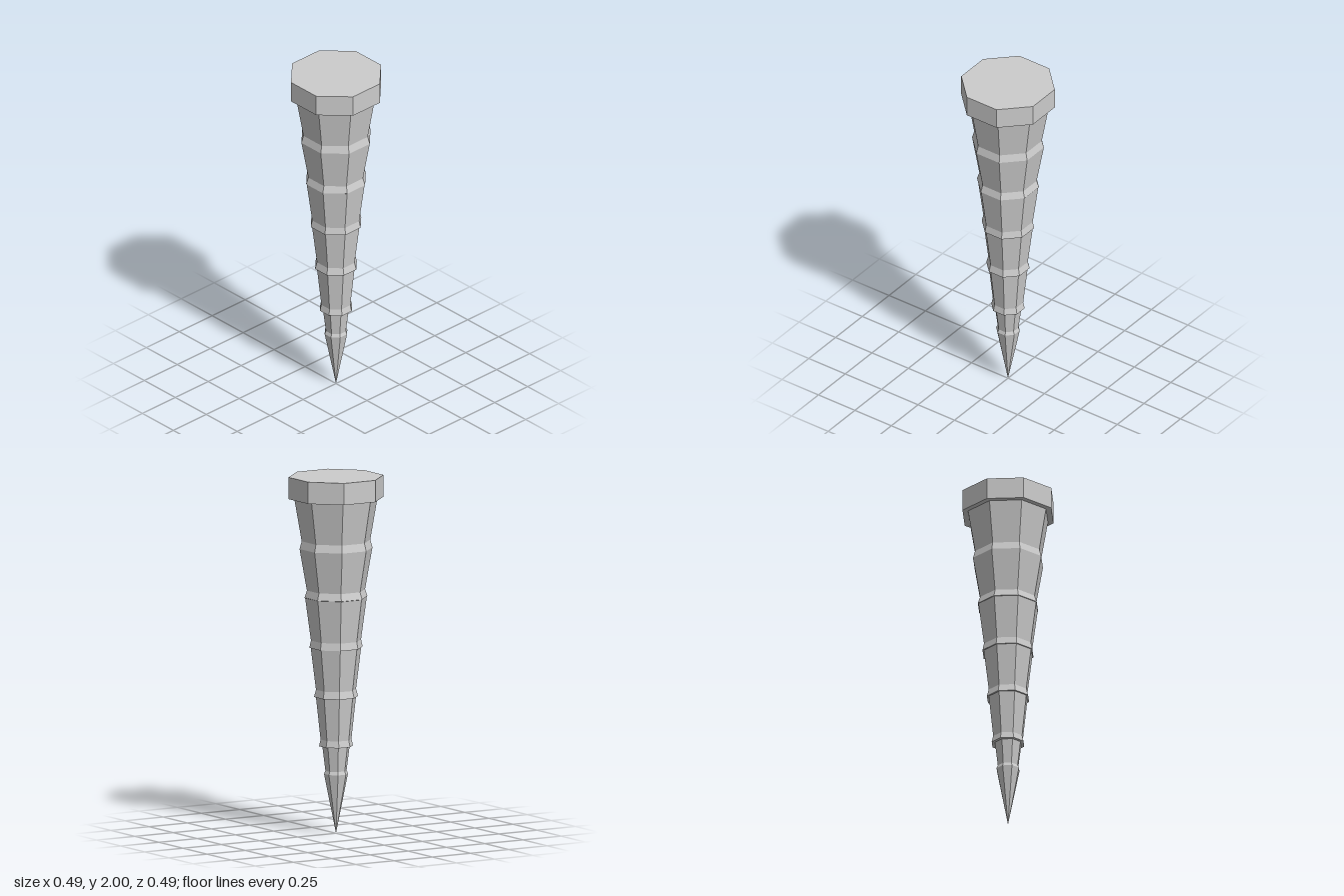
import * as THREE from 'three';

const SIDES = 8;

// Faceted octagonal lathe; profile is [distance to flat, y] from bottom to top
function octagonLathe(name, profile, material) {
  const k = 1 / Math.cos(Math.PI / SIDES);
  const points = profile.map(([r, y]) => new THREE.Vector2(r * k, y));
  const geometry = new THREE.LatheGeometry(points, SIDES, Math.PI / SIDES).toNonIndexed();
  geometry.computeVertexNormals();
  const mesh = new THREE.Mesh(geometry, material);
  mesh.name = name;
  return mesh;
}

export function createModel() {
  const group = new THREE.Group();
  group.name = 'spike';
  const grey = new THREE.MeshStandardMaterial({ color: 0xcccccc });
  grey.name = 'grey';

  // Pointed tip, then tapered sections each ending in a small sloped ridge
  group.add(octagonLathe('shaft', [
    [0, 0],
    [0.062, 0.334], [0.055, 0.352],
    [0.071, 0.49], [0.088, 0.49], [0.08, 0.527],
    [0.104, 0.766], [0.114, 0.766], [0.104, 0.807],
    [0.131, 1.042], [0.138, 1.042], [0.13, 1.083],
    [0.16, 1.322], [0.163, 1.324], [0.151, 1.364],
    [0.189, 1.597], [0.178, 1.64],
    [0.216, 1.878],
  ], grey));

  // Thick flat head
  group.add(octagonLathe('head', [
    [0, 1.878], [0.246, 1.878], [0.246, 2], [0, 2],
  ], grey));

  return group;
}
